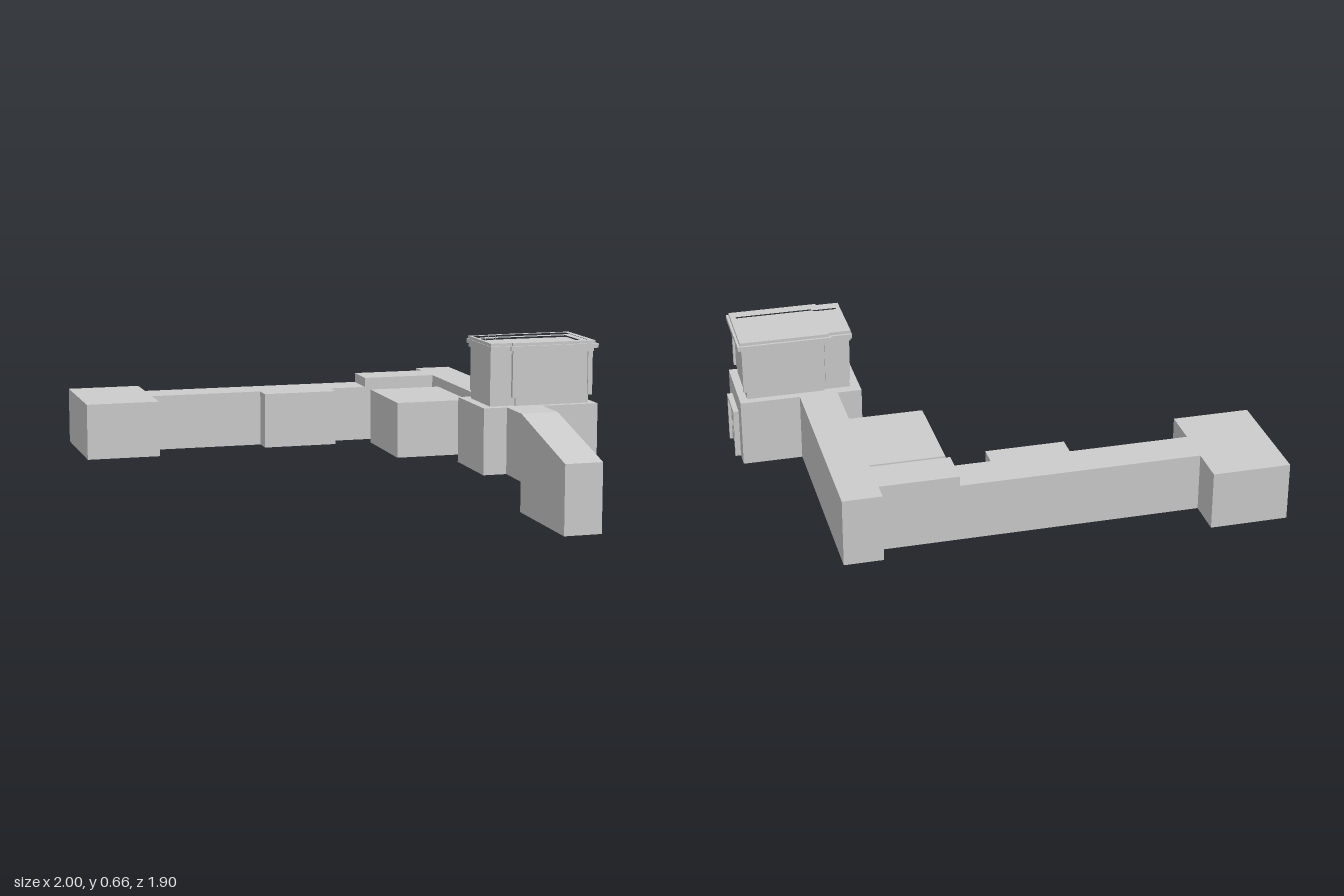
import * as THREE from 'three';

const material = new THREE.MeshStandardMaterial({ color: 0xcccccc, flatShading: true });

function add(parent, name, geometry) {
  const mesh = new THREE.Mesh(geometry, material);
  mesh.name = name;
  parent.add(mesh);
  return mesh;
}

// Box given by its limits on each axis
function block(parent, name, [x0, x1], [y0, y1], [z0, z1]) {
  const g = new THREE.BoxGeometry(x1 - x0, y1 - y0, z1 - z0);
  g.translate((x0 + x1) / 2, (y0 + y1) / 2, (z0 + z1) / 2);
  return add(parent, name, g);
}

// Tower plan: a narrow west part and a slightly wider east part, grown by o
function plan(o) {
  const x0 = 0.52 - o * 0.3, xm = 0.62 - o, x1 = 0.955 + o;
  const n0 = 0.035 - o, n1 = 0.285 + o, w0 = 0.024 - o, w1 = 0.296 + o;
  return [[x0, n0], [xm, n0], [xm, w0], [x1, w0], [x1, w1], [xm, w1], [xm, n1], [x0, n1]]
    .map(([x, z]) => new THREE.Vector2(x, -z));
}

// Slab or ring following the tower plan
function storey(parent, name, y0, y1, o, hole) {
  const shape = new THREE.Shape(plan(o));
  if (hole !== undefined) {
    const inner = plan(hole);
    inner[0].x = inner[7].x = 0.52 - hole;
    shape.holes.push(new THREE.Path(inner));
  }
  const g = new THREE.ExtrudeGeometry(shape, { depth: y1 - y0, bevelEnabled: false });
  g.rotateX(-Math.PI / 2).translate(0, y0, 0);
  return add(parent, name, g);
}

export function createModel() {
  const model = new THREE.Group();
  model.name = 'corridorBuilding';
  const floor = 0.125, low = 0.36, high = 0.4;

  // Long corridor with the sloping stair tunnel at its front end
  const side = new THREE.Shape([
    [-0.87, floor], [0.48, floor], [0.48, 0], [0.95, 0], [0.95, 0.28], [0.48, high], [-0.87, high],
  ].map(([z, y]) => new THREE.Vector2(z, y)));
  const tunnel = new THREE.ExtrudeGeometry(side, { depth: 0.155, bevelEnabled: false });
  tunnel.rotateY(-Math.PI / 2).translate(0.737, 0, 0);
  add(model, 'mainCorridorAndStairTunnel', tunnel);

  // Rear wing
  block(model, 'rearCorridorHigh', [0.268, 0.582], [floor, high], [-0.795, -0.637]);
  block(model, 'rearCorridorLow', [-0.69, 0.268], [floor, low], [-0.795, -0.637]);
  block(model, 'rearAlcove', [-0.21, 0.108], [floor, low], [-0.637, -0.555]);
  block(model, 'endRoom', [-1, -0.69], [floor, low], [-0.95, -0.48]);
  block(model, 'sideRoom', [0.268, 0.582], [floor, low], [-0.555, -0.16]);

  // Entrance hall
  block(model, 'entranceHall', [0.483, 0.978], [floor, high], [0, 0.315]);

  // Double door in a raised frame
  const door = new THREE.Group();
  door.name = 'entranceDoor';
  model.add(door);
  const dz = 0.158;
  for (const s of [-1, 1]) {
    const span = (a, b) => [dz + s * a, dz + s * b].sort((p, q) => p - q);
    block(door, 'doorJamb', [0.978, 1], [floor, 0.328], span(0.07, 0.084));
    block(door, 'doorLeaf', [0.978, 0.985], [floor, 0.314], span(0.003, 0.07));
    block(door, 'upperDoorPanel', [0.985, 0.99], [0.225, 0.3], span(0.016, 0.057));
    block(door, 'lowerDoorPanel', [0.985, 0.99], [0.14, 0.21], span(0.016, 0.057));
    block(door, 'doorHandle', [0.985, 0.994], [0.215, 0.222], span(0.006, 0.014));
  }
  block(door, 'doorLintel', [0.978, 1], [0.314, 0.328], [dz - 0.084, dz + 0.084]);

  // Upper storey
  const tower = new THREE.Group();
  tower.name = 'upperStorey';
  model.add(tower);
  storey(tower, 'towerBase', high, 0.435, -0.009);
  storey(tower, 'towerWalls', 0.435, 0.615, -0.004);
  for (const z of [[0.022, 0.04], [0.28, 0.298]]) {
    block(tower, 'cornerPilaster', [0.94, 0.96], [0.435, 0.615], z);
    block(tower, 'sidePilaster', [0.612, 0.626], [0.435, 0.615], z);
  }

  // Stepped cornice with a hollow parapet around the roof
  storey(tower, 'roofDeck', 0.615, 0.64, -0.004);
  storey(tower, 'corniceLower', 0.615, 0.63, 0.008, -0.01);
  storey(tower, 'corniceMiddle', 0.63, 0.648, 0.022, -0.01);
  storey(tower, 'parapetCap', 0.648, 0.66, 0.012, -0.01);

  return model;
}
